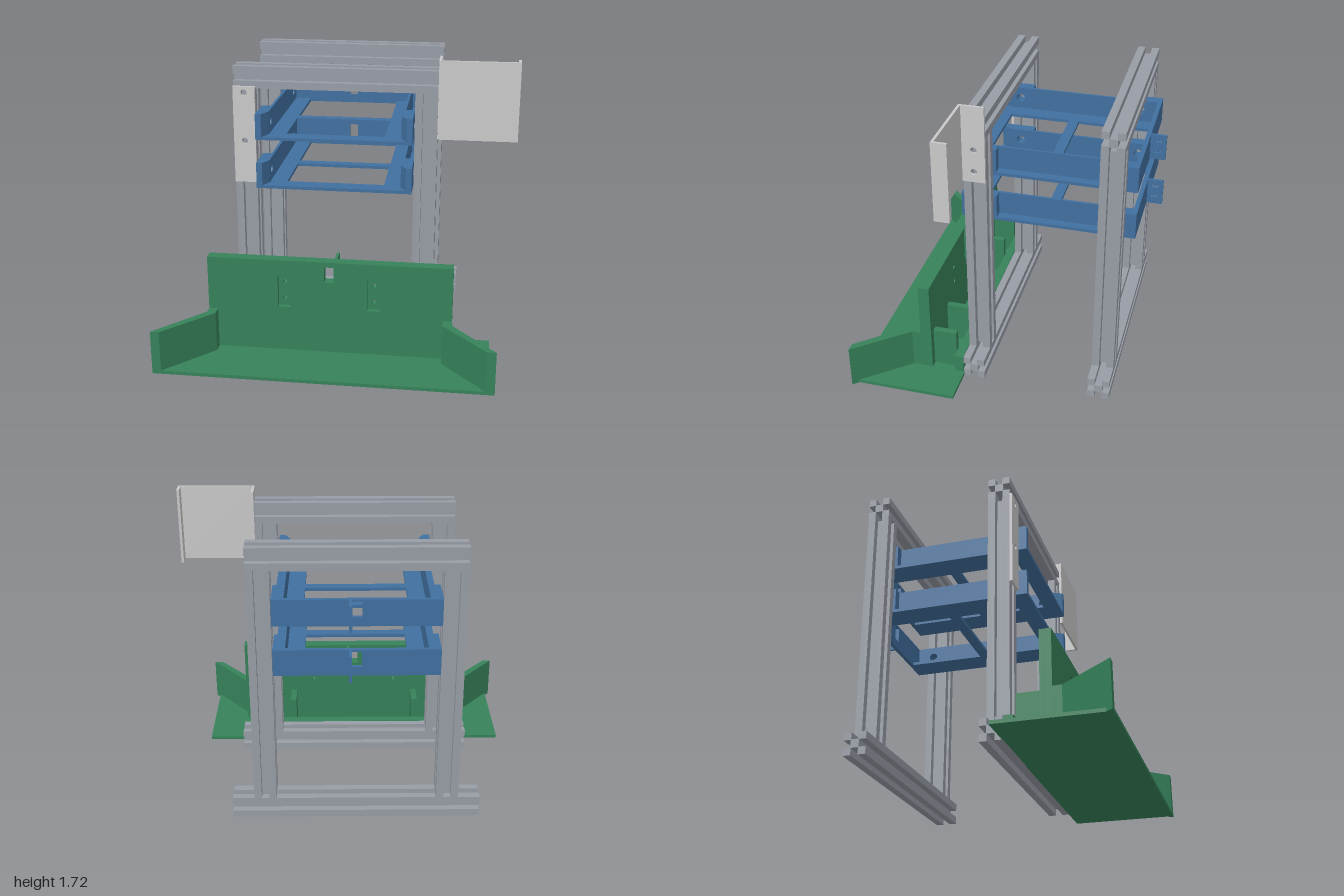
import * as THREE from 'three';

const mat = (name, color) => {
  const m = new THREE.MeshStandardMaterial({ color });
  m.name = name;
  return m;
};

export function createModel() {
  const model = new THREE.Group();
  model.name = 'rackStand';
  const body = new THREE.Group(); // everything mirrors about this group's own centre
  body.name = 'assembly';
  body.position.x = -0.037;
  model.add(body);

  const metal = mat('aluminium grey', 0x989da6);
  const light = mat('light grey', 0xcacaca);
  const blue = mat('shelf blue', 0x41709f);
  const green = mat('base green', 0x36825a);

  const add = (name, geo, material, parent = body) => {
    const mesh = new THREE.Mesh(geo, material);
    mesh.name = name;
    parent.add(mesh);
    return mesh;
  };
  const box = (name, material, x0, x1, y0, y1, z0, z1, parent) => {
    const g = new THREE.BoxGeometry(x1 - x0, y1 - y0, z1 - z0);
    g.translate((x0 + x1) / 2, (y0 + y1) / 2, (z0 + z1) / 2);
    return add(name, g, material, parent);
  };
  const polygon = (pts) => new THREE.Shape(pts.map(([x, y]) => new THREE.Vector2(x, y)));
  const rect = (x0, x1, y0, y1) => polygon([[x0, y0], [x1, y0], [x1, y1], [x0, y1]]);
  const circle = (x, y, r) => new THREE.Path().absarc(x, y, r, 0, Math.PI * 2, false);
  const extrude = (shape, depth, holes = []) => {
    shape.holes.push(...holes);
    return new THREE.ExtrudeGeometry(shape, { depth, bevelEnabled: false, curveSegments: 12 });
  };
  // plate facing z, drawn in x, y
  const plateZ = (name, material, shape, z0, z1, holes, parent) =>
    add(name, extrude(shape, z1 - z0, holes).translate(0, 0, z0), material, parent);
  // plate facing x, drawn in z, y
  const plateX = (name, material, shape, x0, x1, holes, parent) =>
    add(name, extrude(shape, x1 - x0, holes).rotateY(-Math.PI / 2).translate(x1, 0, 0), material, parent);
  // upright prism, drawn in x, z
  const prism = (name, material, pts, y0, y1, parent) =>
    add(name, extrude(polygon(pts.map(([x, z]) => [x, -z])), y1 - y0).rotateX(-Math.PI / 2)
      .translate(0, y0, 0), material, parent);

  // Slotted bar section: four corner squares joined to a core
  const c = 0.024, s = 0.021, h = 0.064;
  const section = [];
  for (let q = 0; q < 4; q++) {
    for (const [x, y] of [[c, -s], [c, s], [h, s], [h, h], [s, h]]) {
      const [cs, sn] = [[1, 0], [0, 1], [-1, 0], [0, -1]][q];
      section.push([x * cs - y * sn, x * sn + y * cs]);
    }
  }
  const bar = (length) => extrude(polygon(section), length).translate(0, 0, -length / 2);

  // Two upright frames
  for (const [name, z] of [['frontFrame', 0.14], ['rearFrame', -0.606]]) {
    const frame = new THREE.Group();
    frame.name = name;
    frame.position.z = z;
    body.add(frame);
    add('bottomBeam', bar(1.42).rotateY(Math.PI / 2).translate(0, h, 0), metal, frame);
    add('topBeam', bar(1.17).rotateY(Math.PI / 2).translate(0, 1.59, 0), metal, frame);
    for (const side of [-1, 1])
      add('post', bar(1.398).rotateX(Math.PI / 2).translate(side * 0.521, 0.827, 0), metal, frame);
  }

  // Tab with two slots, on the side of a cable window
  const slottedTab = (material, z0, z1, y0, y1, holeY, zc, parent) =>
    plateX('slottedTab', material, rect(z0, z1, y0, y1), 0.027, 0.043,
      holeY.map((y) => rect(zc - 0.02, zc + 0.02, y - 0.006, y + 0.006)), parent);

  // Shelves
  for (const y of [0.95, 1.24]) {
    const shelf = new THREE.Group();
    shelf.name = 'shelf';
    shelf.position.y = y;
    body.add(shelf);
    const H = 0.152, F = 0.018;
    plateZ('backWall', blue, rect(-0.45, 0.45, 0, H), -0.73, -0.705,
      [rect(-0.027, 0.027, 0.05, 0.14)], shelf);
    slottedTab(blue, -0.82, -0.73, 0, H, [0.045, 0.11], -0.773, shelf);
    box('crossBar', blue, -0.29, 0.29, 0, F, -0.25, -0.19, shelf);
    box('frontBar', blue, -0.45, 0.45, 0, F, 0.17, 0.265, shelf);
    for (const side of [-1, 1]) {
      const span = (a, b) => (side > 0 ? [a, b] : [-b, -a]);
      box('floorStrip', blue, ...span(0.285, 0.45), 0, F, -0.706, 0.2, shelf);
      // thin wall between two thick mounting blocks
      box('sideWall', blue, ...span(0.383, 0.398), F, H, -0.53, 0.06, shelf);
      plateX('frontMount', blue, rect(0.06, 0.2, F, H), ...span(0.383, 0.45),
        [circle(0.14, 0.085, 0.026)], shelf);
      plateX('rearMount', blue, rect(-0.706, -0.53, F, H), ...span(0.383, 0.45),
        [circle(-0.606, 0.085, 0.026)], shelf);
      prism('leadIn', blue, [[0.45, 0.2], [0.383, 0.2], [0.416, 0.265], [0.45, 0.265]]
        .map(([x, z]) => [x * side, z]), F, H, shelf);
    }
  }

  // Cover plate on the front right post
  plateZ('postCover', light, rect(-0.585, -0.457, 0.97, 1.54), 0.205, 0.22,
    [circle(-0.521, 1.505, 0.018), circle(-0.521, 1.22, 0.018)]);

  // Folded panel on the front left post
  box('sidePanel', light, 0.586, 1.035, 1.267, 1.717, 0.205, 0.22);
  plateX('panelMount', light, rect(0.077, 0.206, 1.267, 1.717), 0.586, 0.6,
    [circle(0.14, 1.46, 0.018), circle(0.14, 1.33, 0.018)]);
  box('panelLip', light, 1.02, 1.035, 1.267, 1.717, 0.135, 0.206);

  // Green base with front wall
  box('basePlate', green, -0.933, 0.933, 0, 0.02, 0.2, 0.812);
  const cableWindow = () => rect(-0.027, 0.027, 0.46, 0.555);
  const recesses = [], screwHoles = [];
  for (const x of [-0.26, 0.26]) {
    recesses.push(rect(x - 0.038, x + 0.038, 0.295, 0.49));
    for (const y of [0.34, 0.442]) screwHoles.push(circle(x, y, 0.012));
  }
  const wall = () => rect(-0.711, 0.711, 0.02, 0.585);
  plateZ('wallBack', green, wall(), 0.398, 0.435, [cableWindow(), ...screwHoles]);
  plateZ('wallFront', green, wall(), 0.435, 0.464, [cableWindow(), ...recesses]);
  slottedTab(green, 0.305, 0.398, 0.36, 0.585, [0.455, 0.52], 0.355);
  box('lowRail', green, -0.711, 0.711, 0.02, 0.13, 0.205, 0.258);

  // Wings and rear ribs
  for (const side of [-1, 1]) {
    prism('wing', green, [[0.711, 0.46], [0.711, 0.515], [0.962, 0.812], [0.911, 0.812],
      [0.658, 0.527], [0.658, 0.46]].map(([x, z]) => [x * side, z]), 0, 0.26);
    for (const x of [0.392, 0.648])
      box('rib', green, side * x - 0.018, side * x + 0.018, 0.02, 0.26, 0.258, 0.4);
  }
  return model;
}
